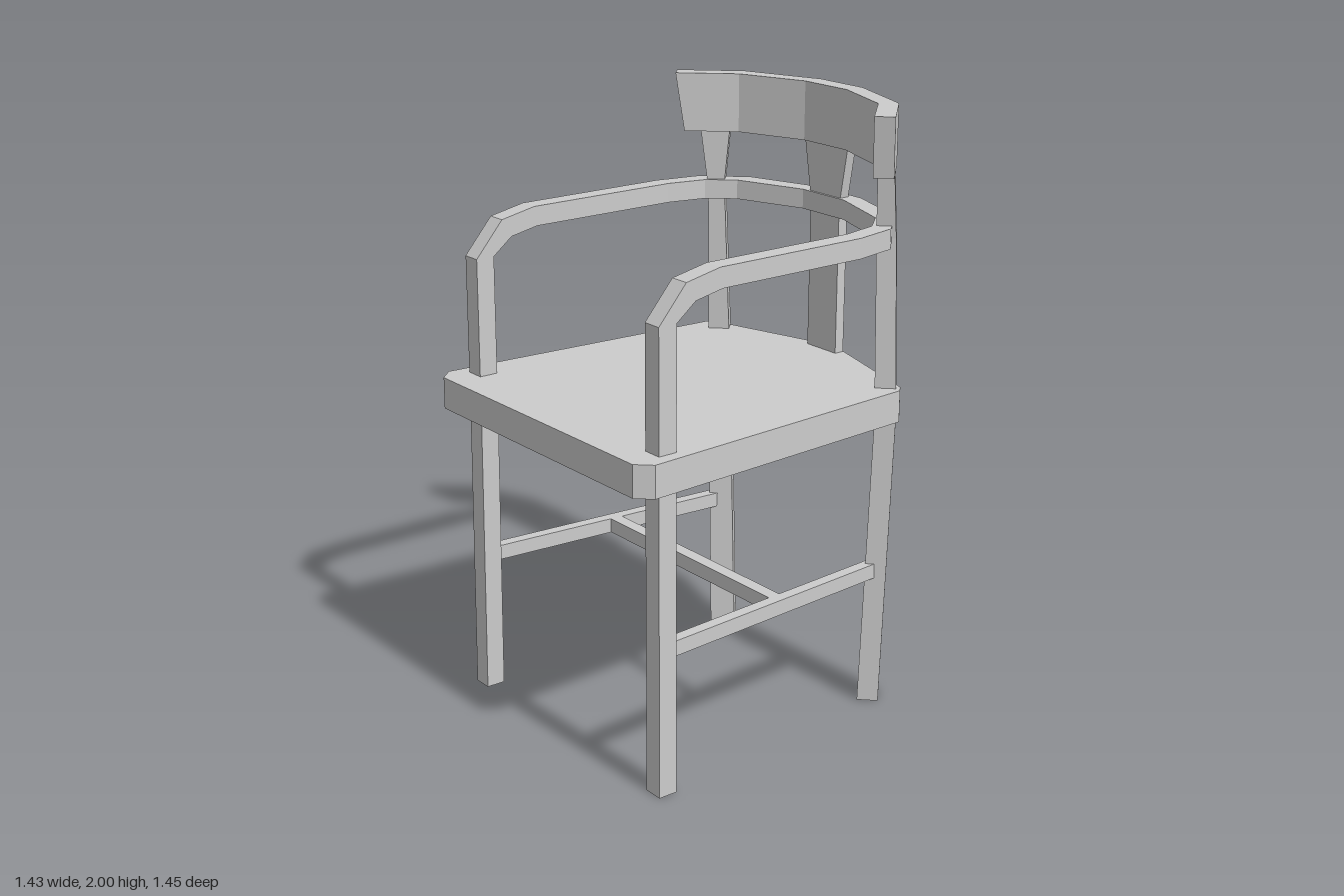
import * as THREE from 'three';

const material = new THREE.MeshStandardMaterial({ color: 0xcccccc, flatShading: true });

// Skin a closed solid over a row of four-cornered rings.
function loft(name, rings) {
  const pos = [];
  const quad = (a, b, c, d) => pos.push(...a, ...b, ...c, ...a, ...c, ...d);
  for (let r = 0; r < rings.length - 1; r++) {
    const a = rings[r], b = rings[r + 1];
    for (let i = 0; i < 4; i++) {
      const j = (i + 1) % 4;
      quad(a[i], a[j], b[j], b[i]);
    }
  }
  const s = rings[0], e = rings[rings.length - 1];
  quad(s[3], s[2], s[1], s[0]);
  quad(e[0], e[1], e[2], e[3]);
  const geo = new THREE.BufferGeometry();
  geo.setAttribute('position', new THREE.Float32BufferAttribute(pos, 3));
  geo.computeVertexNormals();
  const mesh = new THREE.Mesh(geo, material);
  mesh.name = name;
  return mesh;
}

const flip = ([x, y, z]) => [-x, y, z];
// Mirrored ring for a separate part on the other side.
const mirrorRing = (ring) => ring.map(flip).reverse();
// Complete a symmetric sweep that passes behind the sitter.
const acrossBack = (half) => [...half, ...half.map((r) => r.map(flip)).reverse()];

// Ring whose two edges run from the inner to the outer side.
const edgeRing = (xi, xo, [z1, y1], [z2, y2]) =>
  [[xi, y1, z1], [xo, y1, z1], [xo, y2, z2], [xi, y2, z2]];
// Ring of a level rail, with inner and outer points in plan.
const railRing = ([xi, zi], [xo, zo], top, bottom) =>
  [[xi, top, zi], [xo, top, zo], [xo, bottom, zo], [xi, bottom, zi]];

export function createModel() {
  const chair = new THREE.Group();
  chair.name = 'armchair';

  // Seat with clipped corners and a bowed back
  const half = [[0.508, 0.531], [0.553, 0.483], [0.49, -0.54], [0.465, -0.565], [0.07, -0.68]];
  const outline = [...half, ...half.map(([x, z]) => [-x, z]).reverse()];
  const seatGeo = new THREE.ExtrudeGeometry(
    new THREE.Shape(outline.map(([x, z]) => new THREE.Vector2(x, -z))),
    { depth: 0.105, bevelEnabled: false });
  seatGeo.rotateX(-Math.PI / 2).translate(0, 1.005, 0);
  const seat = new THREE.Mesh(seatGeo, material);
  seat.name = 'seat';
  chair.add(seat);

  // Front legs rise into the arms, which meet in one bow behind the sitter
  const top = 1.64, under = 1.575;
  chair.add(loft('frontLegsAndArmBow', acrossBack([
    edgeRing(0.447, 0.512, [0.438, 0], [0.372, 0]),
    edgeRing(0.441, 0.506, [0.434, 1.0], [0.369, 1.0]),
    edgeRing(0.441, 0.506, [0.434, 1.5], [0.369, 1.5]),
    edgeRing(0.441, 0.506, [0.335, 1.615], [0.3, 1.555]),
    edgeRing(0.441, 0.506, [0.21, top], [0.2, under]),
    railRing([0.441, -0.335], [0.506, -0.335], top, under),
    railRing([0.412, -0.468], [0.475, -0.49], top, under),
    railRing([0.34, -0.55], [0.312, -0.65].map((v, i) => v + [0.04, 0.03][i]), top, under),
    railRing([0.1, -0.635], [0.11, -0.7], top, under),
  ])));

  // Back legs, turned diagonally and flared under the crest
  const s = Math.SQRT1_2;
  const legRings = [
    // y, x, z, width along the crest, thickness
    [0, 0.385, -0.545, 0.085, 0.07],
    [1.0, 0.42, -0.547, 0.075, 0.068],
    [1.6, 0.418, -0.527, 0.056, 0.062],
    [1.64, 0.418, -0.524, 0.06, 0.06],
    [1.82, 0.417, -0.518, 0.1, 0.052],
  ].map(([y, x, z, w, t]) =>
    [[-1, -1], [1, -1], [1, 1], [-1, 1]].map(([a, b]) => [
      x + s * (a * w + b * t) / 2, y, z + s * (a * w - b * t) / 2]));
  chair.add(loft('leftBackLeg', legRings));
  chair.add(loft('rightBackLeg', legRings.map(mirrorRing)));

  // Curved crest rail with slanted ends
  const crestEnd = [[0.483, 2, -0.396], [0.53, 2, -0.44], [0.508, 1.805, -0.463], [0.462, 1.805, -0.418]];
  chair.add(loft('crestRail', acrossBack([
    crestEnd,
    railRing([0.336, -0.55], [0.372, -0.604], 2, 1.805),
    railRing([0.1, -0.635], [0.1, -0.702], 2, 1.805),
  ])));

  // Central back slat, widening towards the crest
  chair.add(loft('backSlat', [[1.05, 0.07], [1.6, 0.07], [1.64, 0.074], [1.82, 0.105]].map(([y, w]) =>
    [[-w, y, -0.643], [w, y, -0.643], [w, y, -0.678], [-w, y, -0.678]])));

  // Side stretchers
  const sideRings = [
    railRing([0.455, 0.39], [0.495, 0.39], 0.5, 0.45),
    railRing([0.385, -0.54], [0.425, -0.54], 0.5, 0.45),
  ];
  chair.add(loft('leftStretcher', sideRings));
  chair.add(loft('rightStretcher', sideRings.map((r) => {
    const [a, b, c, d] = r.map(flip);
    return [b, a, d, c];
  })));

  // Cross stretcher
  const cross = new THREE.Mesh(new THREE.BoxGeometry(0.86, 0.05, 0.045), material);
  cross.name = 'crossStretcher';
  cross.position.set(0, 0.475, -0.09);
  chair.add(cross);

  // The whole chair stands turned to one side
  chair.rotation.y = -0.572;
  chair.position.set(0.006, 0, 0.004);
  const model = new THREE.Group();
  model.add(chair);
  return model;
}
